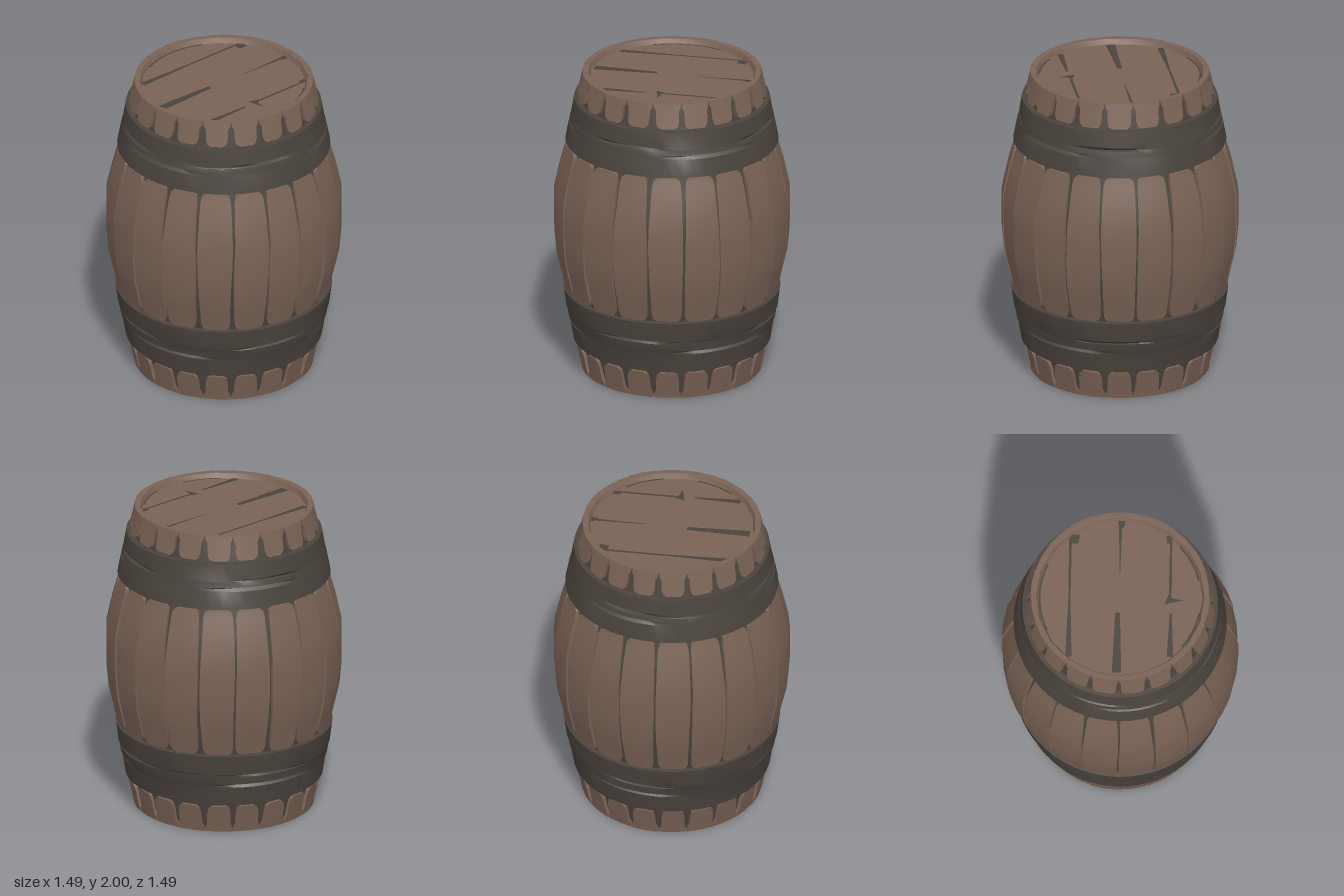
import * as THREE from 'three';
import { toCreasedNormals } from 'three/addons/utils/BufferGeometryUtils.js';

const wood = new THREE.MeshStandardMaterial({ color: 0x7a6255 });
wood.name = 'brown wood';
const iron = new THREE.MeshStandardMaterial({ color: 0x4a433d });
iron.name = 'dark iron';

const STAVES = 20;
const STEP = (Math.PI * 2) / STAVES;
const V = (x, y) => new THREE.Vector2(x, y);

// Barrel outline as [height, radius]
const outline = [[0, 0.568], [0.2, 0.61], [0.55, 0.672], [0.8, 0.73], [0.95, 0.744],
  [1.2, 0.744], [1.38, 0.705], [1.54, 0.66], [1.83, 0.602], [2, 0.564]];

function radiusAt(y) {
  let i = 1;
  while (i < outline.length - 1 && y > outline[i][0]) i++;
  const [y0, r0] = outline[i - 1], [y1, r1] = outline[i];
  return r0 + (r1 - r0) * (y - y0) / (y1 - y0);
}

function seeded(seed) {
  return () => {
    seed = (seed * 16807) % 2147483647;
    return seed / 2147483647;
  };
}

function mesh(name, geometry, material) {
  const m = new THREE.Mesh(geometry, material);
  m.name = name;
  return m;
}

// Raised panel: rows are { y, left, right, lift }, with left and right as shares of half a stave
function panelGeometry(angle, rows) {
  const pos = [], index = [];
  const cols = 5;
  const ends = [rows[0], ...rows, rows[rows.length - 1]];
  ends.forEach((row, i) => {
    const isEnd = i === 0 || i === ends.length - 1;
    const base = radiusAt(row.y) - 0.024;
    const top = isEnd ? base : radiusAt(row.y) + row.lift;
    const mid = (row.right - row.left) / 2;
    [[-row.left, base], [-row.left, top], [mid, top], [row.right, top], [row.right, base]].forEach(([s, r]) => {
      const a = angle + s * STEP / 2;
      pos.push(Math.sin(a) * r, row.y, Math.cos(a) * r);
    });
    if (i > 0) {
      for (let j = 0; j < cols - 1; j++) {
        const a = (i - 1) * cols + j, d = i * cols + j;
        index.push(a, a + 1, d + 1, a, d + 1, d);
      }
    }
  });
  const g = new THREE.BufferGeometry();
  g.setAttribute('position', new THREE.Float32BufferAttribute(pos, 3));
  g.setIndex(index);
  return toCreasedNormals(g, 0.6);
}

function makeStaves() {
  const group = new THREE.Group();
  group.name = 'staves';
  const rand = seeded(421);
  // One wandering width per seam, shared by the staves on both sides
  const seams = Array.from({ length: STAVES }, () => ({
    low: 0.07 + rand() * 0.1, mid: 0.02 + rand() * 0.04, high: 0.06 + rand() * 0.1, drift: (rand() - 0.5) * 0.1,
  }));
  const gap = (s, t, side) => {
    const w = t < 0.5 ? s.low + (s.mid - s.low) * t * 2 : s.mid + (s.high - s.mid) * (t - 0.5) * 2;
    return w + side * s.drift * Math.sin(t * Math.PI * 2);
  };
  const bodyRows = [[0.562, 0.26], [0.574, 0.1], [0.6, 0], [0.7, 0], [0.8, 0], [0.95, 0], [1.08, 0],
    [1.2, 0], [1.38, 0], [1.48, 0], [1.515, 0.06], [1.53, 0.24]];
  const rimRows = [[0, 0.03], [0.03, 0.05], [0.05, 0.17], [0.13, 0.2], [0.165, 0.28], [0.182, 0.48]];

  for (let i = 0; i < STAVES; i++) {
    const angle = (i + 0.5) * STEP;
    const a = seams[i], b = seams[(i + 1) % STAVES];
    const lift = (rand() - 0.5) * 0.008;
    group.add(mesh('stave', panelGeometry(angle, bodyRows.map(([y, trim]) => {
      const t = (y - 0.56) / 0.97;
      return { y, left: 1 - gap(a, t, 1) - trim, right: 1 - gap(b, t, -1) - trim, lift };
    })), wood));

    // Exposed stave ends below and above the hoops
    const cut = (k) => rimRows.map(([y, trim]) => ({
      y: y * k, left: 1 - trim * (0.6 + a.low * 4), right: 1 - trim * (0.6 + b.low * 4), lift: lift * 0.5,
    }));
    group.add(mesh('lowerStaveEnd', panelGeometry(angle, cut(1)), wood));
    const upper = cut(0.86).map((row) => ({ ...row, y: 2 - row.y })).reverse();
    group.add(mesh('upperStaveEnd', panelGeometry(angle, upper), wood));
  }
  return group;
}

// Hoop with split lines pressed in along part of its circumference
function makeHoop(name, profile, splits) {
  const g = new THREE.LatheGeometry(profile.map(([r, y]) => V(r, y)), 60);
  const p = g.attributes.position;
  for (let i = 0; i < p.count; i++) {
    const x = p.getX(i), y = p.getY(i), z = p.getZ(i);
    const a = Math.atan2(x, z);
    splits.forEach(({ height, phase, waves }) => {
      if (Math.abs(y - height) < 0.001) {
        const depth = 0.022 * Math.max(0, Math.sin(a * waves + phase));
        const k = 1 - depth / Math.hypot(x, z);
        p.setXYZ(i, x * k, y + 0.008 * Math.sin(a * 3 + phase), z * k);
      }
    });
  }
  g.deleteAttribute('normal');
  g.deleteAttribute('uv');
  return mesh(name, toCreasedNormals(g, 0.5), iron);
}

// Barrel head: rim, recessed boards and dark seams between them
function makeHead(name) {
  const group = new THREE.Group();
  group.name = name;
  const rim = new THREE.LatheGeometry([V(0.556, 0.985), V(0.556, 0.999), V(0.532, 0.998), V(0.518, 0.965)], STAVES);
  group.add(mesh('rim', toCreasedNormals(rim, 0.4), wood));
  const boards = new THREE.CircleGeometry(0.525, 40).rotateX(-Math.PI / 2).translate(0, 0.966, 0);
  group.add(mesh('boards', boards, wood));

  // Each seam: x, start z, end z, start width, end width
  [[-0.32, -0.4, 0.02, 0.018, 0.014], [-0.32, 0.02, 0.4, 0.014, 0.04],
    [-0.005, -0.51, -0.16, 0.022, 0.004], [-0.015, 0.1, 0.5, 0.03, 0.06],
    [0.315, -0.39, -0.03, 0.014, 0.018], [0.32, 0.1, 0.39, 0.014, 0.04],
    [0, -0.515, -0.47, 0.045, 0.03], [-0.29, -0.42, -0.36, 0.06, 0.04], [0.305, -0.42, -0.37, 0.04, 0.03],
  ].forEach(([x, z0, z1, w0, w1]) => {
    const s = new THREE.Shape([V(x - w0 / 2, -z0), V(x - w1 / 2, -z1), V(x + w1 / 2, -z1), V(x + w0 / 2, -z0)]);
    group.add(mesh('boardSeam', new THREE.ShapeGeometry(s).rotateX(-Math.PI / 2).translate(0, 0.97, 0), iron));
  });

  // Small chip in one board
  const chip = new THREE.Shape([V(0.28, -0.04), V(0.31, 0.04), V(0.33, 0), V(0.4, -0.01), V(0.32, -0.03)]);
  group.add(mesh('boardChip', new THREE.ShapeGeometry(chip).rotateX(-Math.PI / 2).translate(0, 0.971, 0), iron));

  // Worn arcs where the boards meet the rim
  [[2.7, 0.9], [0.25, 0.5], [5.6, 0.5]].forEach(([start, length]) => {
    const arc = new THREE.RingGeometry(0.503, 0.514, 12, 1, start, length);
    group.add(mesh('rimSeam', arc.rotateX(-Math.PI / 2).translate(0, 0.97, 0), iron));
  });
  return group;
}

export function createModel() {
  const model = new THREE.Group();
  model.name = 'barrel';

  // Dark core seen in the gaps between the staves
  const core = outline.map(([y, r]) => V(r - 0.02, THREE.MathUtils.clamp(y, 0.004, 1.996)));
  model.add(mesh('core', new THREE.LatheGeometry(core, STAVES * 2), iron));
  model.add(makeStaves());

  model.add(makeHoop('lowerHoop',
    [[0.58, 0.2], [0.622, 0.2], [0.643, 0.325], [0.645, 0.338], [0.652, 0.35], [0.66, 0.4], [0.662, 0.41],
      [0.668, 0.422], [0.684, 0.55], [0.64, 0.555]],
    [{ height: 0.338, phase: 0.8, waves: 3 }, { height: 0.41, phase: 2.4, waves: 4 }]));
  model.add(makeHoop('upperHoop',
    [[0.63, 1.538], [0.672, 1.542], [0.65, 1.655], [0.648, 1.668], [0.645, 1.68], [0.638, 1.706], [0.636, 1.716],
      [0.634, 1.728], [0.617, 1.828], [0.58, 1.83]],
    [{ height: 1.668, phase: 1.2, waves: 3 }, { height: 1.716, phase: 2.6, waves: 4 }]));

  // Matching heads at both ends
  const top = makeHead('topHead');
  top.position.y = 1;
  const bottom = makeHead('bottomHead');
  bottom.position.y = 1;
  bottom.rotation.x = Math.PI;
  model.add(top, bottom);
  return model;
}
